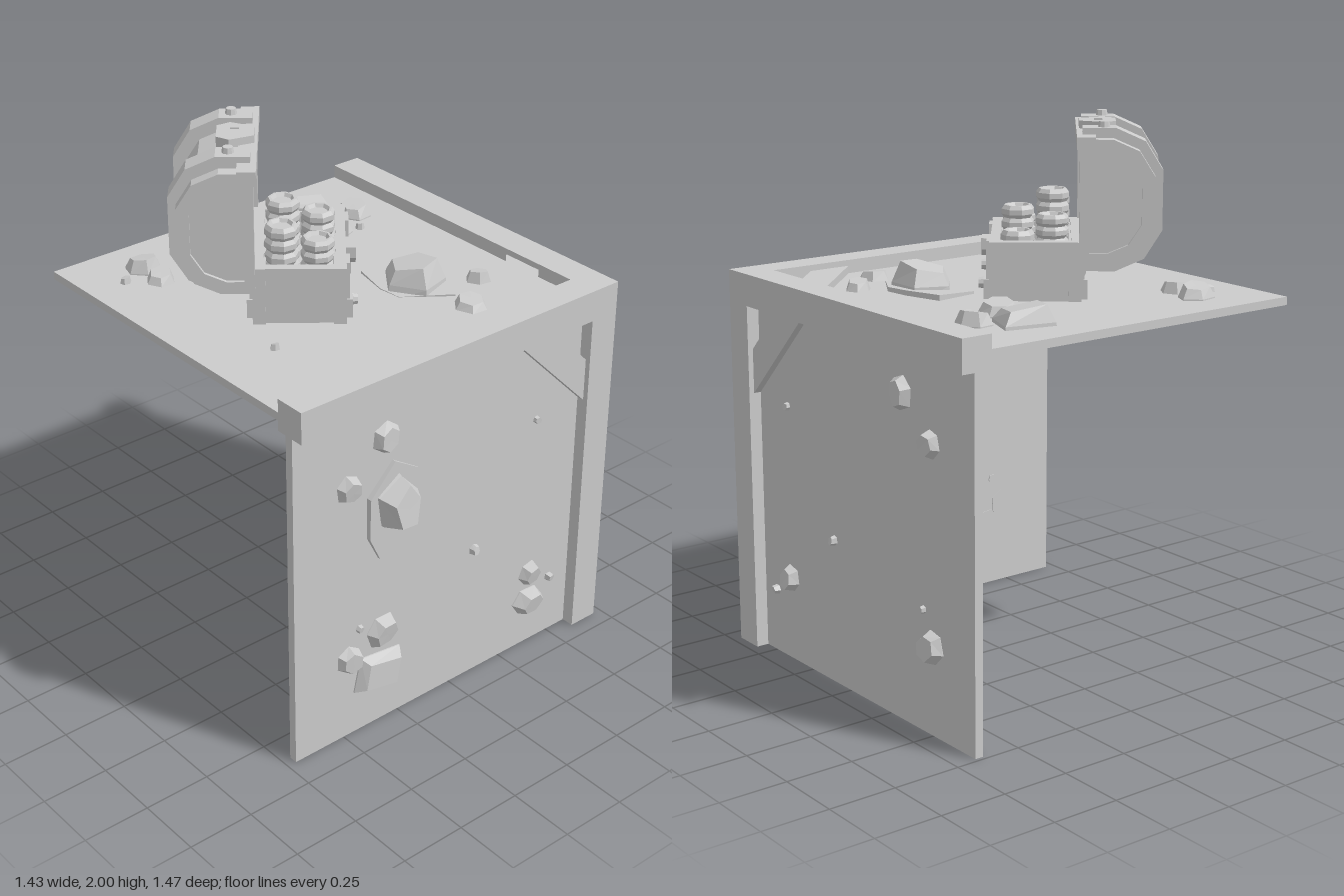
import * as THREE from 'three';

const mat = new THREE.MeshStandardMaterial({ color: 0xcccccc, flatShading: true });

function add(parent, name, geo, x = 0, y = 0, z = 0) {
  const m = new THREE.Mesh(geo, mat);
  m.name = name;
  m.position.set(x, y, z);
  parent.add(m);
  return m;
}
// box given by its min and max corners
function block(parent, name, a, b) {
  return add(parent, name, new THREE.BoxGeometry(b[0] - a[0], b[1] - a[1], b[2] - a[2]),
    (a[0] + b[0]) / 2, (a[1] + b[1]) / 2, (a[2] + b[2]) / 2);
}
function group(parent, name) {
  const g = new THREE.Group();
  g.name = name;
  parent.add(g);
  return g;
}
const polygon = (pts) => new THREE.Shape(pts.map((p) => new THREE.Vector2(p[0], p[1])));
const extrude = (shape, depth) => new THREE.ExtrudeGeometry(shape, { depth, bevelEnabled: false });

let seed = 7;
const rand = () => (seed = (seed * 16807) % 2147483647) / 2147483647;

// faceted stone lying in the XY plane of a panel, poking out along +z
function stone(parent, [u, v, rx, ry, h, sides = 6, turn = rand() * 6]) {
  const geo = new THREE.CylinderGeometry(0.68, 1, 1, sides, 2);
  geo.rotateX(Math.PI / 2);
  const jitter = Array.from({ length: sides }, () => 0.88 + rand() * 0.2);
  const p = geo.attributes.position;
  const lean = rand() * 6;
  for (let i = 0; i < p.count; i++) {
    const x = p.getX(i), y = p.getY(i), t = p.getZ(i) + 0.5;
    const k = ((Math.round(Math.atan2(y, x) / (2 * Math.PI / sides) * 2) / 2 | 0) + sides) % sides;
    const j = sides === 4 ? 1 : jitter[k];
    const wide = t > 0.4 && t < 0.6 ? 1.13 : 1;
    const tilt = t > 0.9 ? (x * Math.cos(lean) + y * Math.sin(lean)) * 0.3 * h : 0;
    const c = Math.cos(turn), s = Math.sin(turn);
    p.setXYZ(i, u + (x * c - y * s) * rx * j * wide, v + (x * s + y * c) * ry * j * wide,
      -0.036 + t * (h + 0.036) + tilt);
  }
  geo.computeVertexNormals();
  add(parent, 'stone', geo);
}

// diagonal board across a panel corner
function brace(parent, cu, cv, du, dv) {
  add(parent, 'cornerBrace', extrude(polygon([
    [cu + du * 0.33, cv], [cu + du * 0.165, cv], [cu, cv + dv * 0.165], [cu, cv + dv * 0.33],
  ]), 0.028));
}

// irregular thin plate under a large stone
function plate(parent, pts, tiltX, tiltY) {
  const cx = pts.reduce((s, p) => s + p[0], 0) / pts.length;
  const cy = pts.reduce((s, p) => s + p[1], 0) / pts.length;
  const m = add(parent, 'stoneBed', extrude(polygon(pts.map((p) => [p[0] - cx, p[1] - cy])), 0.045), cx, cy, -0.034);
  m.rotation.set(tiltX, tiltY, 0);
}

// D-shaped lid section, grown outward by o; x is depth, y is height
function lidSection(o) {
  const top = 0.22 + o, d = 0.25 + o, c = 0.35, z = -0.16;
  const half = [[0, top], [-d * 0.42, top], [-d * 0.78, top * 0.82], [-d, top * 0.42]];
  return [...half.map((p) => [z + p[0], c + p[1]]), ...half.slice().reverse().map((p) => [z + p[0], c - p[1]])];
}
function lidPart(parent, name, outer, inner, width, x) {
  const pts = inner === null ? lidSection(outer) : [...lidSection(outer), ...lidSection(inner).reverse()];
  const geo = extrude(polygon(pts), width);
  geo.translate(0, 0, -width / 2);
  geo.rotateY(-Math.PI / 2);
  add(parent, name, geo, x);
}

function buildChest(root) {
  const chest = group(root, 'chest');
  chest.position.set(-0.121, 1.38, -0.058);
  chest.rotation.y = 0.89;

  // lower box
  const box = group(chest, 'chestBox');
  block(box, 'boxFloor', [-0.24, 0, -0.15], [0.24, 0.05, 0.15]);
  for (const s of [-1, 1]) {
    add(box, 'longWall', new THREE.BoxGeometry(0.49, 0.2, 0.035), 0, 0.1, s * 0.133);
    add(box, 'endWall', new THREE.BoxGeometry(0.035, 0.2, 0.27), s * 0.235, 0.1, 0);
    add(box, 'longRim', new THREE.BoxGeometry(0.52, 0.03, 0.035), 0, 0.195, s * 0.142);
    add(box, 'endRim', new THREE.BoxGeometry(0.035, 0.03, 0.27), s * 0.243, 0.195, 0);
    for (const t of [-1, 1]) {
      add(box, 'cornerPost', new THREE.BoxGeometry(0.045, 0.21, 0.045), s * 0.241, 0.105, t * 0.139);
      add(box, 'boxStrap', new THREE.BoxGeometry(0.075, 0.205, 0.025), s * 0.17, 0.103, t * 0.16);
      add(box, 'strapFoot', new THREE.BoxGeometry(0.09, 0.07, 0.035), s * 0.17, 0.035, t * 0.165);
    }
    const rivet = add(box, 'rivet', new THREE.CylinderGeometry(0.018, 0.022, 0.022, 8), s * 0.17, 0.05, 0.19);
    rivet.rotation.x = Math.PI / 2;
  }
  add(box, 'latch', extrude(polygon([[-0.045, 0.03], [0.045, 0.03], [0.045, -0.01], [0.025, -0.035], [-0.025, -0.035], [-0.045, -0.01]]), 0.05), 0, 0.155, 0.145);

  // treasure bed and coin stacks
  add(box, 'treasureBed', new THREE.BoxGeometry(0.44, 0.06, 0.24), 0, 0.08, 0);
  const stacks = [[0.13, -0.057, 0.29], [-0.006, -0.059, 0.36], [-0.13, -0.062, 0.32],
    [0.145, 0.064, 0.235], [0.024, 0.065, 0.305], [-0.108, 0.062, 0.26]];
  for (const [x, z, top] of stacks) {
    const n = Math.round((top - 0.08) / 0.045), h = (top - 0.08) / n;
    const pts = [new THREE.Vector2(0, 0)];
    for (let i = 0; i < n; i++) {
      pts.push(new THREE.Vector2(0.05, i * h), new THREE.Vector2(0.06, (i + 0.3) * h),
        new THREE.Vector2(0.06, (i + 0.7) * h), new THREE.Vector2(0.05, (i + 1) * h));
    }
    pts.push(new THREE.Vector2(0.042, n * h), new THREE.Vector2(0.034, n * h - 0.012), new THREE.Vector2(0, n * h - 0.012));
    add(box, 'coinStack', new THREE.LatheGeometry(pts, 8), x, 0.08, z).rotation.y = rand();
  }

  // open lid with hoops, trim and clasp
  const lid = group(chest, 'chestLid');
  lidPart(lid, 'lidShell', -0.012, -0.04, 0.52, 0);
  for (const s of [-1, 1]) {
    lidPart(lid, 'lidEnd', -0.03, null, 0.025, s * 0.262);
    lidPart(lid, 'lidEndHoop', 0, -0.045, 0.05, s * 0.2625);
    lidPart(lid, 'lidStrap', 0.03, -0.02, 0.085, s * 0.17);
    add(lid, 'lidRivet', new THREE.CylinderGeometry(0.018, 0.023, 0.03, 8), s * 0.17, 0.605, -0.235);
    add(lid, 'lidSideTrim', new THREE.BoxGeometry(0.045, 0.42, 0.035), s * 0.265, 0.35, -0.168);
  }
  block(lid, 'lidTopTrim', [-0.288, 0.535, -0.205], [0.288, 0.578, -0.14]);
  block(lid, 'lidHingeTrim', [-0.26, 0.13, -0.2], [0.26, 0.21, -0.155]);
  const clasp = polygon([[-0.05, 0.065], [0.05, 0.065], [0.078, 0.02], [0.04, -0.065], [-0.04, -0.065], [-0.078, 0.02]]);
  clasp.holes.push(new THREE.Path([[-0.03, -0.012], [-0.03, 0.018], [0.03, 0.018], [0.03, -0.012]].map((p) => new THREE.Vector2(...p))));
  add(lid, 'clasp', extrude(clasp, 0.045), 0, 0.56, -0.215).rotation.x = -Math.PI / 2;
}

export function createModel() {
  const root = new THREE.Group();
  root.name = 'treasureBlock';

  // three thin panels and the bars along their shared edges
  block(root, 'frontPanel', [-0.715, 0, 0.605], [0.65, 1.36, 0.637]);
  block(root, 'sidePanel', [0.635, 0, -0.735], [0.667, 1.36, 0.62]);
  block(root, 'topPanel', [-0.715, 1.35, -0.735], [0.65, 1.38, 0.62]);
  block(root, 'cornerPost', [0.597, 0, 0.567], [0.715, 1.312, 0.685]);
  block(root, 'frontBar', [-0.715, 1.312, 0.567], [0.715, 1.43, 0.685]);
  block(root, 'sideBar', [0.597, 1.312, -0.735], [0.715, 1.43, 0.567]);

  // front face: stones as [u, v, radiusU, radiusV, height, sides, turn]
  const front = group(root, 'frontDetails');
  front.position.z = 0.637;
  brace(front, 0.6, 1.312, -1, -1);
  plate(front, [[-0.4, 0.96], [-0.29, 1.07], [-0.18, 1.0], [-0.165, 0.88], [-0.21, 0.73], [-0.35, 0.7], [-0.4, 0.8]], 0.02, 0.06);
  [[-0.28, 0.91, 0.105, 0.12, 0.085, 5, 0.5], [-0.32, 1.17, 0.062, 0.065, 0.03], [-0.485, 1.03, 0.05, 0.058, 0.035],
    [0.39, 0.97, 0.018, 0.018, 0.015], [0.105, 0.54, 0.024, 0.026, 0.02], [-0.43, 0.44, 0.02, 0.018, 0.015],
    [-0.33, 0.39, 0.075, 0.07, 0.04], [-0.48, 0.33, 0.06, 0.062, 0.035], [-0.35, 0.23, 0.135, 0.1, 0.045, 4, 0.62],
    [0.39, 0.31, 0.052, 0.052, 0.035], [0.385, 0.19, 0.078, 0.06, 0.045], [0.5, 0.245, 0.024, 0.022, 0.02],
  ].forEach((s) => stone(front, s));

  // side face
  const side = group(root, 'sideDetails');
  side.position.x = 0.667;
  side.rotation.y = Math.PI / 2;
  brace(side, -0.57, 1.312, 1, -1);
  [[0.335, 1.17, 0.062, 0.068, 0.03], [0.5, 1.03, 0.05, 0.056, 0.035], [-0.38, 0.97, 0.018, 0.018, 0.015],
    [-0.09, 0.54, 0.023, 0.025, 0.02], [0.45, 0.44, 0.018, 0.018, 0.015], [0.5, 0.325, 0.064, 0.066, 0.04],
    [-0.38, 0.315, 0.055, 0.055, 0.035], [-0.485, 0.245, 0.024, 0.022, 0.02],
  ].forEach((s) => stone(side, s));

  // top face
  const top = group(root, 'topDetails');
  top.position.y = 1.38;
  top.rotation.x = -Math.PI / 2;
  brace(top, 0.6, -0.57, -1, 1);
  plate(top, [[0.13, 0.02], [0.3, 0.045], [0.34, -0.1], [0.35, -0.2], [0.27, -0.33], [0.11, -0.21], [0.1, -0.12]], 0.03, -0.06);
  [[0.22, -0.16, 0.115, 0.13, 0.085, 5, 0.9], [0.29, 0.51, 0.14, 0.11, 0.06, 4, 0.5], [0.43, 0.42, 0.062, 0.07, 0.045],
    [0.27, 0.35, 0.075, 0.075, 0.045], [0.37, 0.31, 0.02, 0.02, 0.02], [-0.45, 0.55, 0.078, 0.065, 0.045],
    [-0.46, 0.43, 0.054, 0.056, 0.035], [-0.565, 0.5, 0.026, 0.024, 0.02], [-0.46, -0.23, 0.022, 0.02, 0.02],
    [0.42, -0.285, 0.05, 0.05, 0.035], [0.26, -0.42, 0.065, 0.068, 0.03],
  ].forEach((s) => stone(top, s));

  buildChest(root);
  return root;
}
